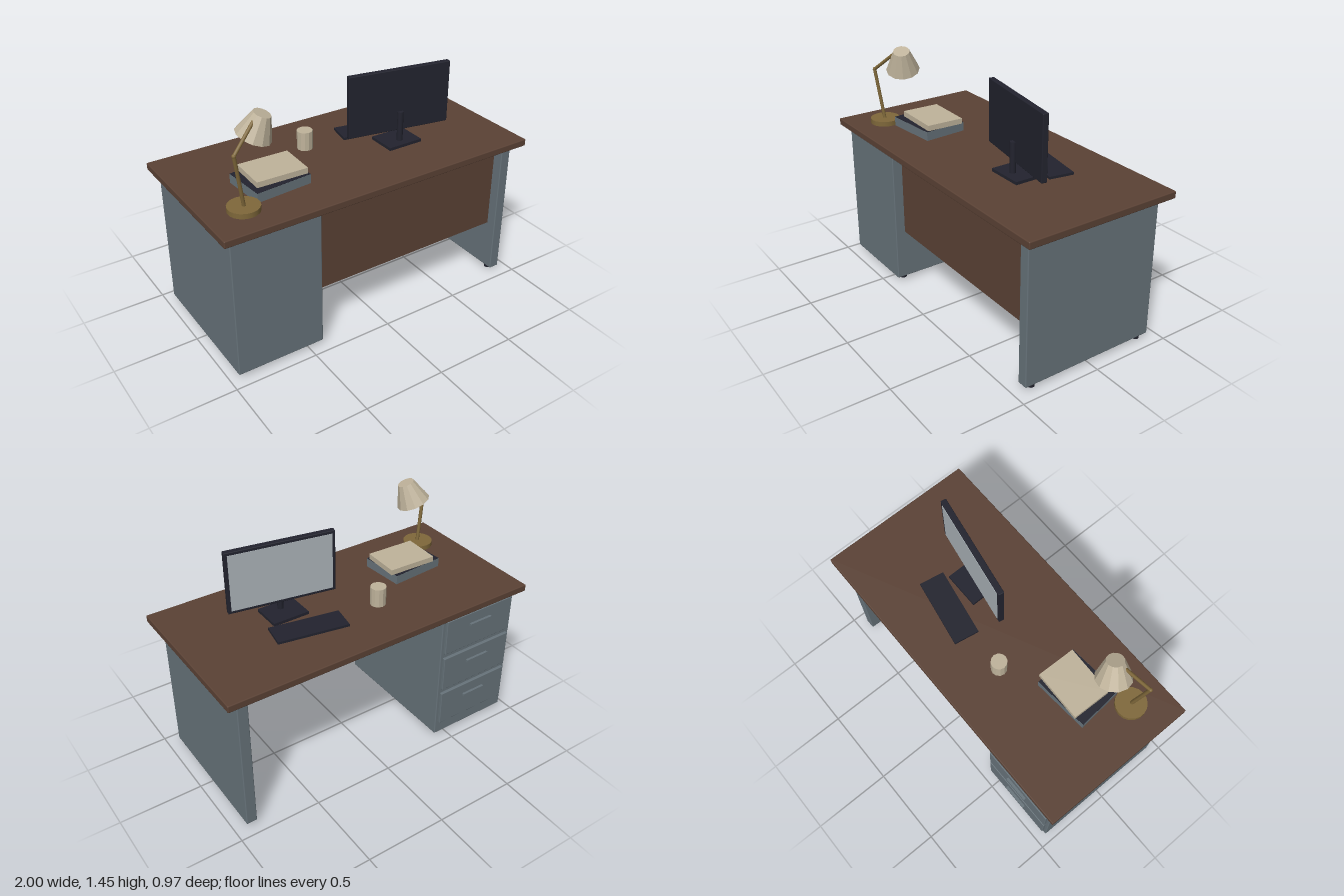
import * as THREE from 'three';
import { RoundedBoxGeometry } from 'three/addons/geometries/RoundedBoxGeometry.js';

const material = (name, color, flatShading = false) => {
  const m = new THREE.MeshStandardMaterial({ color, flatShading });
  m.name = name;
  return m;
};

export function createModel() {
  const wood = material('walnut', 0x5b4235);
  const grey = material('slate grey', 0x67737a);
  const dark = material('dark navy', 0x22232e);
  const cream = material('cream', 0xbfb39b, true);
  const brass = material('brass', 0x7f683a);
  const screen = material('screen grey', 0xaab2b7);

  const model = new THREE.Group();
  model.name = 'officeDesk';

  const add = (parent, name, geometry, mat, x = 0, y = 0, z = 0, turn = 0) => {
    const mesh = new THREE.Mesh(geometry, mat);
    mesh.name = name;
    mesh.position.set(x, y, z);
    mesh.rotation.y = turn;
    parent.add(mesh);
    return mesh;
  };
  const group = (name) => {
    const g = new THREE.Group();
    g.name = name;
    model.add(g);
    return g;
  };
  const box = (w, h, d) => new THREE.BoxGeometry(w, h, d);
  const soft = (w, h, d, r = 0.006) => new RoundedBoxGeometry(w, h, d, 2, r);
  // Cylinder or cone running from one point to another
  const rod = (parent, name, a, b, r0, r1, sides, mat) => {
    const from = new THREE.Vector3(...a), to = new THREE.Vector3(...b);
    const dir = to.clone().sub(from);
    const mesh = add(parent, name, new THREE.CylinderGeometry(r1, r0, dir.length(), sides), mat);
    mesh.position.copy(from).add(to).multiplyScalar(0.5);
    mesh.quaternion.setFromUnitVectors(new THREE.Vector3(0, 1, 0), dir.normalize());
    return mesh;
  };

  // Desk
  const top = 0.94;
  const desk = group('desk');
  add(desk, 'desktop', soft(2, 0.043, 0.97), wood, 0, top - 0.0215, 0);
  add(desk, 'drawerCabinet', soft(0.54, 0.872, 0.87), grey, -0.68, 0.461, 0);
  add(desk, 'endPanel', soft(0.065, 0.872, 0.87), grey, 0.897, 0.461, 0);
  add(desk, 'modestyPanel', box(1.276, 0.547, 0.025), wood, 0.228, 0.6155, 0.36);

  // Drawers open towards the rear
  for (const y of [0.227, 0.489, 0.752]) {
    add(desk, 'drawerFront', soft(0.5, 0.229, 0.03, 0.004), grey, -0.68, y, -0.438);
    add(desk, 'drawerHandle', box(0.16, 0.016, 0.017), grey, -0.68, y + 0.038, -0.46);
  }
  for (const x of [-0.903, -0.453, 0.897]) {
    for (const z of [-0.377, 0.377]) {
      add(desk, 'foot', new THREE.CylinderGeometry(0.022, 0.022, 0.028, 12), dark, x, 0.014, z);
    }
  }

  // Monitor, with the screen facing the rear
  const tilt = -THREE.MathUtils.degToRad(10);
  const monitor = group('monitor');
  const panel = add(monitor, 'monitorHousing', soft(0.64, 0.38, 0.034, 0.004), dark, 0.347, 1.211, 0.078, tilt);
  add(panel, 'monitorScreen', box(0.604, 0.345, 0.004), screen, 0, 0, -0.0175);
  add(monitor, 'monitorNeck', new THREE.CylinderGeometry(0.018, 0.018, 0.185, 12), dark, 0.347, 1.0475, 0.102);
  add(monitor, 'monitorBase', box(0.226, 0.018, 0.182), dark, 0.348, top + 0.009, 0.071);
  add(model, 'keyboard', box(0.423, 0.015, 0.152), dark, 0.31, top + 0.0075, -0.14, tilt);

  // Cup
  add(model, 'cup', new THREE.CylinderGeometry(0.047, 0.047, 0.114, 12), cream, -0.153, top + 0.057, -0.15);

  // Books
  const books = group('books');
  const lower = add(books, 'lowerBook', box(0.343, 0.055, 0.274), grey, -0.527, top + 0.0275, 0.103, 0.08);
  add(lower, 'lowerBookCover', box(0.341, 0.002, 0.272), dark, 0, 0.0285, 0);
  add(books, 'upperBook', box(0.308, 0.034, 0.235), cream, -0.503, 1.014, 0.09, -0.03);

  // Desk lamp
  const lamp = group('lamp');
  const elbow = [-0.829, 1.278, 0.302];
  add(lamp, 'lampBase', new THREE.CylinderGeometry(0.091, 0.091, 0.03, 18), brass, -0.779, top + 0.015, 0.273);
  rod(lamp, 'lampPole', [-0.778, 0.96, 0.276], elbow, 0.011, 0.011, 8, brass);
  rod(lamp, 'lampArm', elbow, [-0.665, 1.415, 0.232], 0.01, 0.01, 8, brass);
  add(lamp, 'lampElbow', new THREE.SphereGeometry(0.012, 10, 8), brass, ...elbow);
  rod(lamp, 'lampShade', [-0.662, 1.302, 0.195], [-0.62, 1.427, 0.224], 0.102, 0.05, 12, cream);

  return model;
}
